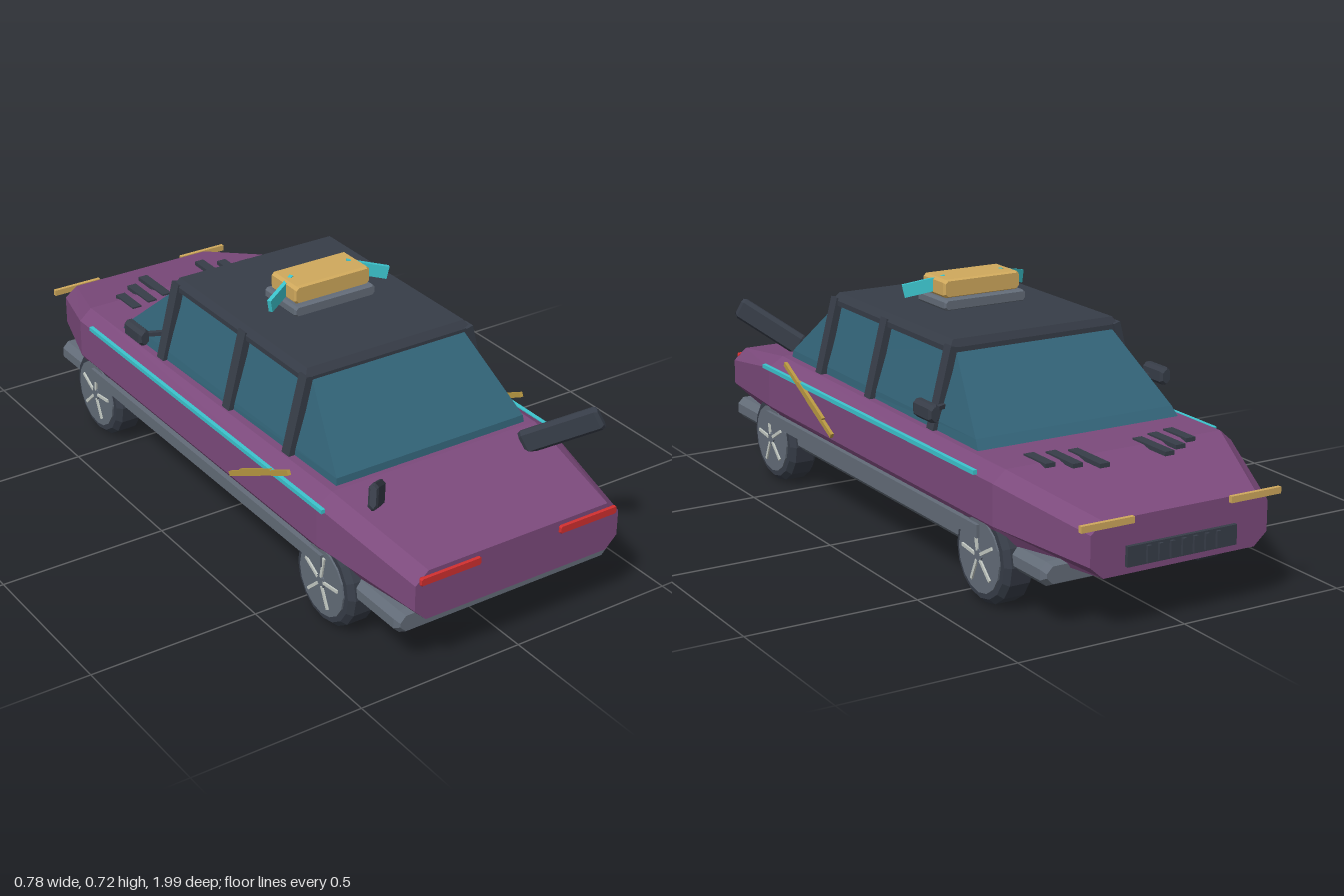
import * as THREE from 'three';

const mat = (name, color) => Object.assign(new THREE.MeshStandardMaterial({ color }), { name });
const M = {
  paint: mat('plum paint', 0x7c4a7c),
  dark: mat('charcoal trim', 0x373d48),
  glass: mat('teal glass', 0x326377),
  grey: mat('slate grey', 0x636c78),
  gold: mat('gold', 0xd0a95c),
  brass: mat('brass accent', 0xb99842),
  cyan: mat('cyan accent', 0x3cc4cd),
  red: mat('red lamp', 0xd02f2f),
  pale: mat('pale spoke', 0xc4cac4),
};

// Flat-shaded solid through rings of points (counter-clockwise, first ring facing out)
function loft(rings) {
  const pos = [];
  const tri = (a, b, c) => pos.push(...a, ...b, ...c);
  const n = rings[0].length;
  for (let r = 0; r < rings.length - 1; r++) {
    for (let i = 0; i < n; i++) {
      const j = (i + 1) % n, a = rings[r], b = rings[r + 1];
      tri(a[i], b[i], a[j]);
      tri(a[j], b[i], b[j]);
    }
  }
  const first = rings[0], last = rings[rings.length - 1];
  for (let i = 1; i < n - 1; i++) {
    tri(first[0], first[i], first[i + 1]);
    tri(last[0], last[i + 1], last[i]);
  }
  const g = new THREE.BufferGeometry();
  g.setAttribute('position', new THREE.Float32BufferAttribute(pos, 3));
  g.computeVertexNormals();
  return g;
}

// Eight-sided section of the body at z
const section = (z, top, max, bot, y0, y1, y2, y3) => [
  [-bot, y0, z], [bot, y0, z], [max, y1, z], [max, y2, z],
  [top, y3, z], [-top, y3, z], [-max, y2, z], [-max, y1, z],
];

// Box with all edges chamfered by c
function chamferBox(w, h, d, c) {
  const ring = (z, k) => {
    const x = w / 2 - k, y = h / 2 - k;
    return section(z, x - c, x, x - c, -y, -y + c, y - c, y);
  };
  return loft([ring(d / 2, c / 2), ring(d / 2 - c, 0), ring(-d / 2 + c, 0), ring(-d / 2, c / 2)]);
}

// Tapered cabin layer: four-cornered ring at height y
const layer = (y, xRear, zRear, xFront, zFront) => [
  [-xRear, y, zRear], [xRear, y, zRear], [xFront, y, zFront], [-xFront, y, zFront],
];

const flat = (g) => {
  const f = g.toNonIndexed();
  f.computeVertexNormals();
  return f;
};

export function createModel() {
  const car = new THREE.Group();
  car.name = 'car';
  const add = (name, geo, material, x = 0, y = 0, z = 0, parent = car) => {
    const m = new THREE.Mesh(geo, material);
    m.name = name;
    m.position.set(x, y, z);
    m.rotation.order = 'YXZ';
    parent.add(m);
    return m;
  };
  const box = (name, w, h, d, material, x, y, z, parent) =>
    add(name, new THREE.BoxGeometry(w, h, d), material, x, y, z, parent);

  // Body shell and chassis
  add('body', loft([
    section(0.985, 0.29, 0.33, 0.295, 0.185, 0.22, 0.295, 0.33),
    section(0.62, 0.335, 0.383, 0.345, 0.185, 0.24, 0.36, 0.39),
    section(-0.68, 0.34, 0.378, 0.345, 0.18, 0.235, 0.35, 0.383),
    section(-0.975, 0.235, 0.275, 0.235, 0.16, 0.195, 0.28, 0.31),
  ]), M.paint);
  add('chassis', chamferBox(0.7, 0.065, 1.82, 0.018), M.grey, 0, 0.156, 0.03);

  // Cabin glass and roof
  add('cabinGlass', loft([
    layer(0.6, 0.25, 0.395, 0.25, -0.275),
    layer(0.41, 0.308, 0.6, 0.315, -0.49),
    layer(0.38, 0.312, 0.605, 0.322, -0.515),
  ]), M.glass);
  add('roof', loft([
    layer(0.626, 0.258, 0.385, 0.258, -0.275),
    layer(0.605, 0.272, 0.4, 0.272, -0.285),
    layer(0.59, 0.272, 0.4, 0.272, -0.285),
  ]), M.dark);

  // Roof unit
  add('roofUnitBase', chamferBox(0.268, 0.032, 0.16, 0.007), M.grey, 0, 0.651, 0.06);
  add('roofUnit', chamferBox(0.25, 0.053, 0.127, 0.008), M.gold, 0, 0.693, 0.0625);

  // Front grille with vertical bars
  box('grille', 0.34, 0.055, 0.02, M.dark, 0, 0.208, -0.976);
  for (let i = -3; i <= 3; i++) box('grilleBar', 0.012, 0.045, 0.012, M.dark, i * 0.036, 0.208, -0.988);

  const tyre = flat(new THREE.LatheGeometry([
    [0.095, -0.045], [0.118, -0.045], [0.133, -0.03], [0.133, 0.03], [0.118, 0.045], [0.095, 0.045],
  ].map(([r, y]) => new THREE.Vector2(r, y)), 16));
  const rim = flat(new THREE.CylinderGeometry(0.102, 0.102, 0.1, 16));
  const hub = flat(new THREE.CylinderGeometry(0.02, 0.02, 0.108, 8));

  for (const s of [1, -1]) {
    // Wheels
    for (const z of [0.63, -0.605]) {
      const wheel = new THREE.Group();
      wheel.name = 'wheel';
      wheel.position.set(s * 0.325, 0.134, z);
      car.add(wheel);
      add('tyre', tyre, M.dark, 0, 0, 0, wheel).rotation.z = Math.PI / 2;
      add('rim', rim, M.grey, 0, 0, 0, wheel).rotation.z = Math.PI / 2;
      add('hub', hub, M.grey, 0, 0, 0, wheel).rotation.z = Math.PI / 2;
      for (let k = 0; k < 5; k++) {
        const a = (k / 5) * Math.PI * 2 + 0.2;
        box('spoke', 0.11, 0.066, 0.009, M.pale, 0, Math.cos(a) * 0.047, Math.sin(a) * 0.047, wheel).rotation.x = a;
      }
    }

    // Sill strip, side stripe and slash marks
    box('sillStrip', 0.03, 0.036, 1.25, M.grey, s * 0.37, 0.202, 0.015);
    box('sideStripe', 0.012, 0.012, 1.25, M.cyan, s * 0.383, 0.36, 0.025);
    for (const [len, y, z] of [[0.2, 0.357, 0.405], [0.17, 0.325, 0.33], [0.17, 0.291, 0.275]])
      box('slashMark', 0.01, 0.014, len, M.brass, s * 0.387, y, z).rotation.x = -0.46;

    // Leaning window pillars
    for (const z of [0.39, 0.085, -0.275])
      box('pillar', 0.022, 0.238, 0.036, M.dark, s * 0.293, 0.495, z).rotation.z = s * 0.25;

    // Mirrors
    add('mirror', chamferBox(0.034, 0.05, 0.1, 0.01), M.dark, s * 0.374, 0.459, -0.332);
    box('mirrorArm', 0.09, 0.012, 0.014, M.dark, s * 0.335, 0.452, -0.312).rotation.y = s * 0.4;

    // Swept tail fins
    const fin = add('tailFin', chamferBox(0.026, 0.07, 0.235, 0.01), M.dark, s * 0.301, 0.446, 0.772);
    fin.rotation.set(-0.49, s * 0.71, 0);

    // Roof unit wings
    const wing = add('roofWing', new THREE.BoxGeometry(0.125, 0.038, 0.012), M.cyan, s * 0.143, 0.69, 0.081);
    wing.rotation.set(0, -s * 0.47, -s * 0.22);

    // Lamps
    add('tailLamp', chamferBox(0.19, 0.024, 0.012, 0.004), M.red, s * 0.223, 0.305, 0.987);
    box('headLamp', 0.16, 0.018, 0.012, M.gold, s * 0.23, 0.304, -0.98);

    // Bonnet vents
    for (const [x, z, len] of [[0.222, -0.655, 0.105], [0.162, -0.68, 0.13], [0.102, -0.705, 0.15]])
      box('bonnetVent', 0.03, 0.012, len, M.dark, s * x, 0.382, z);
  }
  return car;
}
